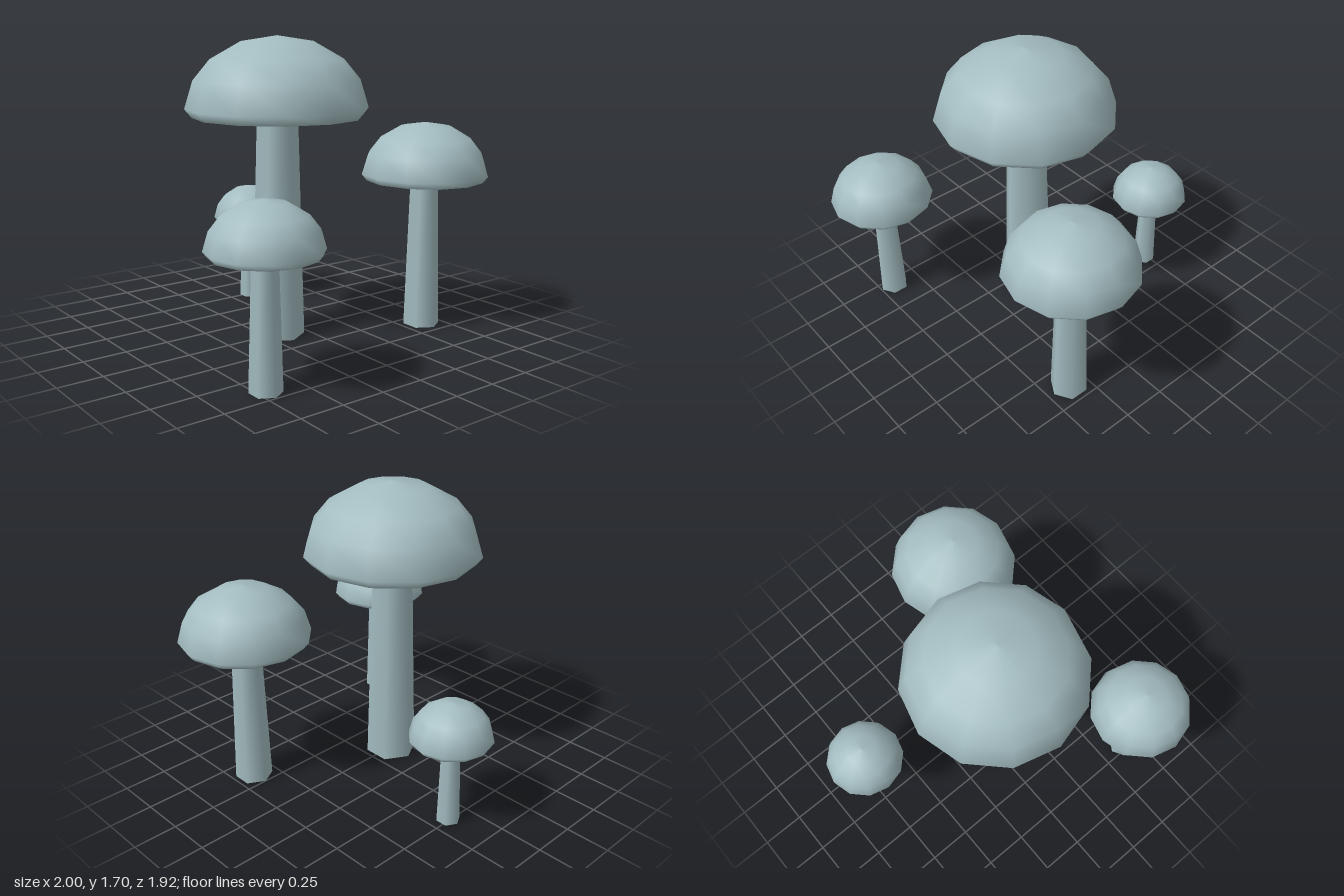
import * as THREE from 'three';

// Hollow cap outline, rim to crown, as fractions of cap radius and height
const CAP = [[0.92, 0], [1, 0.11], [0.906, 0.46], [0.724, 0.713], [0.39, 0.931], [0, 1]];

// x, z, stem base radius, stem top radius, stem height, cap radius, cap rim y, cap top y
const MUSHROOMS = [
  ['largeMushroom', -0.16, 0, 0.15, 0.111, 1.4, 0.512, 1.25, 1.697],
  ['mediumMushroom', 0.63, 0.357, 0.107, 0.078, 1.0, 0.369, 0.868, 1.203],
  ['smallMushroom', -0.705, 0.658, 0.086, 0.063, 0.8, 0.296, 0.68, 0.957],
  ['tinyMushroom', 0.14, -0.735, 0.067, 0.048, 0.6, 0.229, 0.5, 0.73],
];

export function createModel() {
  const model = new THREE.Group();
  model.name = 'mushroomCluster';
  const paleTeal = new THREE.MeshStandardMaterial({ color: 0xa3bcc0, side: THREE.DoubleSide });
  paleTeal.name = 'paleTeal';

  for (const [name, x, z, baseR, topR, stemH, capR, rimY, topY] of MUSHROOMS) {
    const mushroom = new THREE.Group();
    mushroom.name = name;
    mushroom.position.set(x, 0, z);

    // Six-sided tapered stem, ending inside the cap
    const stem = new THREE.Mesh(new THREE.CylinderGeometry(topR, baseR, stemH, 6), paleTeal);
    stem.name = 'stem';
    stem.position.y = stemH / 2;

    // Twelve-sided open dome with a tucked-in rim
    const outline = CAP.map(([r, y]) => new THREE.Vector2(r * capR, y * (topY - rimY)));
    const cap = new THREE.Mesh(new THREE.LatheGeometry(outline, 12), paleTeal);
    cap.name = 'cap';
    cap.position.y = rimY;

    mushroom.add(stem, cap);
    model.add(mushroom);
  }
  return model;
}
